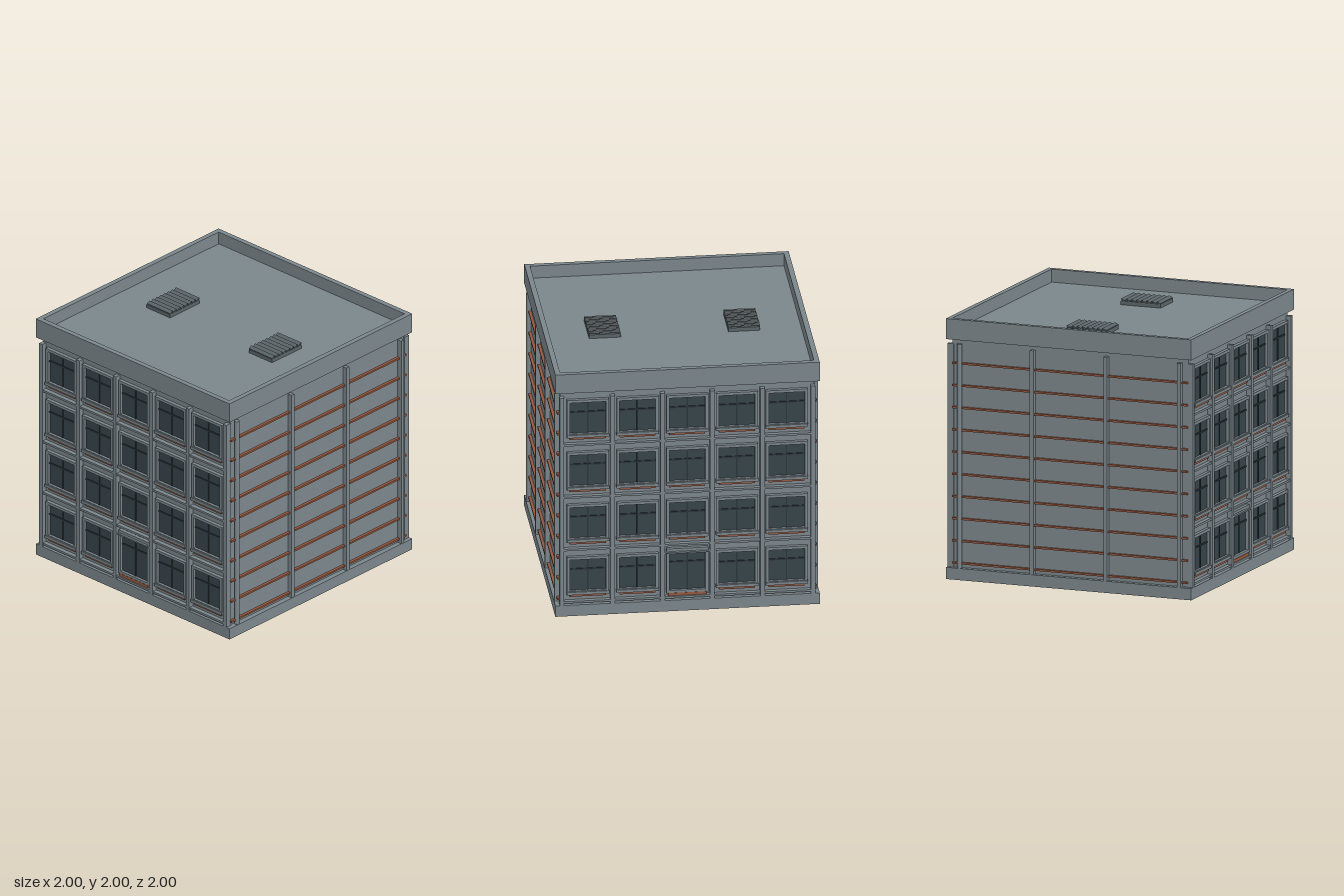
import * as THREE from 'three';

const mat = (color) => new THREE.MeshStandardMaterial({ color });
const concrete = mat(0x7b868b);
const brick = mat(0x96583f);
const glass = mat(0x37444a);
const bar = mat(0x2a3439);
const metal = mat(0x5a6468);

// Box given by its extents on each axis
function box(parent, name, material, [x0, x1], [y0, y1], [z0, z1]) {
  const mesh = new THREE.Mesh(new THREE.BoxGeometry(x1 - x0, y1 - y0, z1 - z0), material);
  mesh.position.set((x0 + x1) / 2, (y0 + y1) / 2, (z0 + z1) / 2);
  mesh.name = name;
  parent.add(mesh);
  return mesh;
}

// Rectangular ring with a square hole, extruded along z
function ring(parent, name, material, w, h, border, depth) {
  const rect = (S, a, b) => new S([
    new THREE.Vector2(-a, -b), new THREE.Vector2(a, -b),
    new THREE.Vector2(a, b), new THREE.Vector2(-a, b),
  ]);
  const shape = rect(THREE.Shape, w / 2, h / 2);
  shape.holes.push(rect(THREE.Path, w / 2 - border, h / 2 - border));
  const geo = new THREE.ExtrudeGeometry(shape, { depth, bevelEnabled: false });
  const mesh = new THREE.Mesh(geo, material);
  mesh.name = name;
  parent.add(mesh);
  return mesh;
}

const WALL = 0.96;

// Framed opening: glass from y0 to y1, cross bars and surround
function opening(name, x, y0, y1, barY) {
  const g = new THREE.Group();
  g.name = name;
  const w = 0.136;
  box(g, 'pane', glass, [-w, w], [y0, y1], [WALL - 0.01, WALL + 0.006]);
  box(g, 'mullion', bar, [-0.005, 0.005], [y0, y1], [WALL, WALL + 0.012]);
  box(g, 'transom', bar, [-w, w], [barY - 0.006, barY + 0.006], [WALL, WALL + 0.012]);
  const frame = ring(g, 'frame', concrete, 2 * w + 0.044, y1 - y0 + 0.044, 0.022, 0.028);
  frame.position.set(0, (y0 + y1) / 2, WALL);
  g.position.x = x;
  return g;
}

function createWindow(x, y) {
  const g = opening('window', x, y, y + 0.257, y + 0.172);
  box(g, 'sill', concrete, [-0.16, 0.16], [y - 0.03, y - 0.007], [WALL - 0.01, 0.996]);
  box(g, 'brickApron', brick, [-0.136, 0.136], [y - 0.05, y - 0.03], [WALL - 0.01, WALL + 0.02]);
  return g;
}

function createDoor() {
  const g = opening('door', 0, 0.165, 0.488, 0.393);
  box(g, 'canopy', concrete, [-0.188, 0.188], [0.473, 0.484], [WALL, 1]);
  box(g, 'threshold', brick, [-0.145, 0.145], [0.122, 0.145], [WALL - 0.01, 0.99]);
  return g;
}

// Windowed face looking along +z
function createFacade(name) {
  const g = new THREE.Group();
  g.name = name;
  for (const x of [-0.95, -0.567, -0.188, 0.188, 0.567, 0.95]) {
    box(g, 'pilaster', concrete, [x - 0.017, x + 0.017], [0.09, 1.805], [WALL - 0.01, 1]);
  }
  for (let row = 0; row < 4; row++) {
    const y = 0.2 + row * 0.433;
    box(g, 'floorLedge', concrete, [-0.962, 0.962], [y - 0.097, y - 0.081], [WALL - 0.01, 0.995]);
    for (let col = -2; col <= 2; col++) {
      g.add(row === 0 && col === 0 ? createDoor() : createWindow(col * 0.376, y));
    }
  }
  return g;
}

// Blind face looking along +x, with brick courses and a downpipe
function createSide(name) {
  const g = new THREE.Group();
  g.name = name;
  for (const z of [-0.898, -0.299, 0.302]) {
    box(g, 'sidePilaster', concrete, [WALL - 0.01, 0.998], [0.09, 1.81], [z - 0.015, z + 0.015]);
  }
  for (let i = 0; i < 10; i++) {
    const y = 0.125 + i * 0.1705;
    box(g, 'brickCourse', brick, [WALL - 0.01, 0.982], [y - 0.007, y + 0.007], [-0.958, 0.958]);
  }
  const pipe = new THREE.Mesh(new THREE.CylinderGeometry(0.02, 0.02, 1.72, 12), concrete);
  pipe.name = 'downpipe';
  pipe.position.set(0.979, 0.95, 0.897);
  g.add(pipe);
  return g;
}

// Louvred roof vent
function createVent(x) {
  const g = new THREE.Group();
  g.name = 'roofVent';
  box(g, 'ventBase', metal, [-0.12, 0.12], [1.89, 1.93], [-0.165, 0.16]);
  for (let i = 0; i < 8; i++) {
    const z = -0.148 + i * 0.0415;
    const slat = box(g, 'slat', metal, [-0.12, 0.12], [1.933, 1.943], [z - 0.016, z + 0.016]);
    slat.rotation.x = 0.45;
  }
  g.position.x = x;
  return g;
}

export function createModel() {
  const model = new THREE.Group();
  model.name = 'building';

  // Core volume, plinth and roof
  box(model, 'plinth', concrete, [-1, 1], [0, 0.09], [-1, 1]);
  box(model, 'walls', concrete, [-WALL, WALL], [0.09, 1.85], [-WALL, WALL]);
  box(model, 'roofSlab', concrete, [-0.98, 0.98], [1.845, 1.9], [-0.98, 0.98]);
  const parapet = ring(model, 'parapet', concrete, 2, 2, 0.04, 0.157);
  parapet.rotation.x = -Math.PI / 2;
  parapet.position.y = 1.843;

  // Opposite faces match by a half turn
  const back = createFacade('backFacade');
  const left = createSide('leftSide');
  const right = createSide('rightSide');
  back.rotation.y = right.rotation.y = Math.PI;
  model.add(createFacade('frontFacade'), back, left, right);

  model.add(createVent(-0.527), createVent(0.527));
  return model;
}
